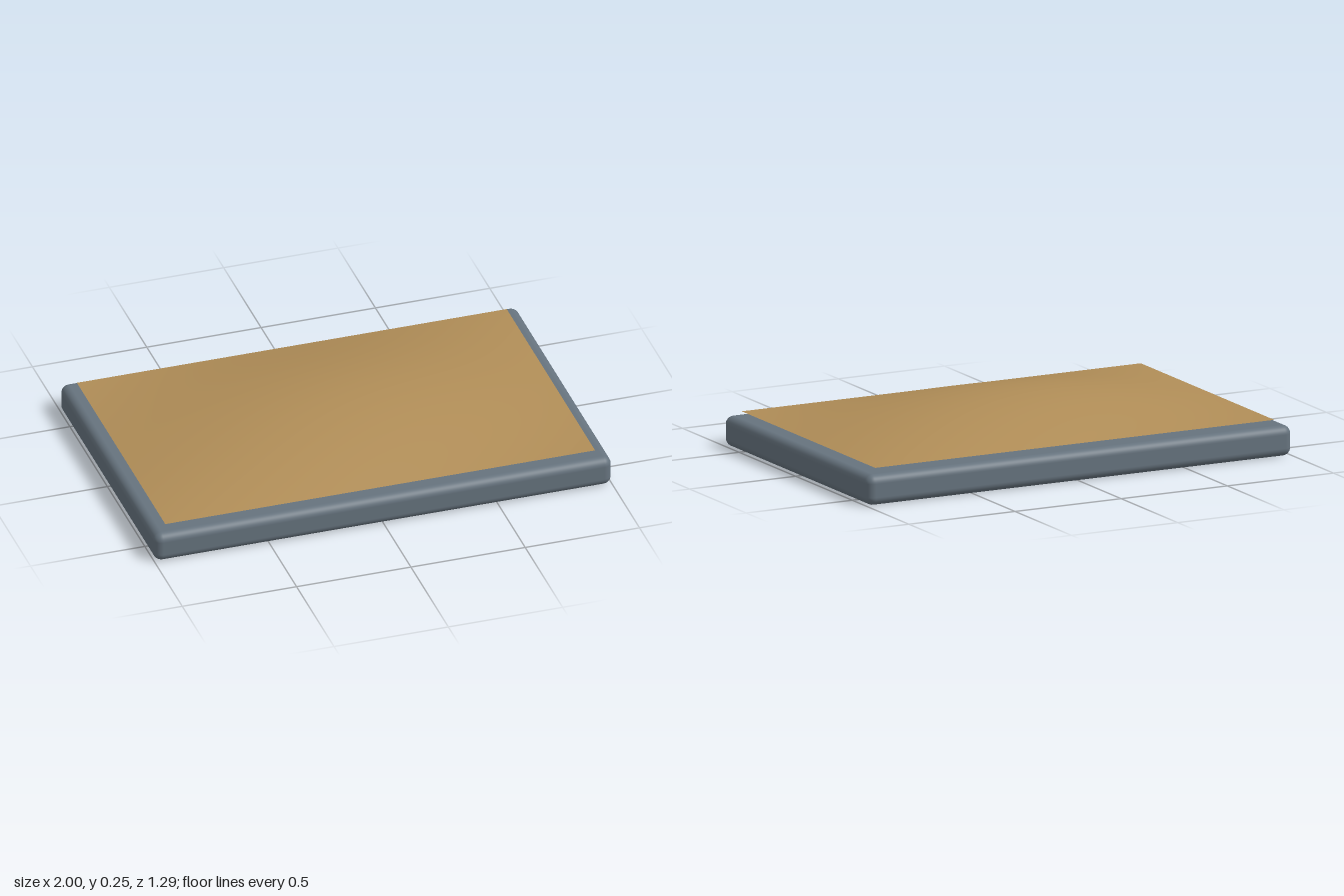
import * as THREE from 'three';
import { RoundedBoxGeometry } from 'three/addons/geometries/RoundedBoxGeometry.js';

export function createModel() {
  const model = new THREE.Group();

  // Rounded slab
  const base = new THREE.Mesh(
    new RoundedBoxGeometry(2, 0.13, 1.29, 5, 0.036),
    new THREE.MeshStandardMaterial({ color: 0x66737e })
  );
  base.name = 'base';
  base.position.y = 0.065;
  model.add(base);

  // Thin domed sheet hovering just above the slab, with straight flat edges
  const width = 1.88, depth = 1.18, rise = 0.104;
  const sheet = new THREE.PlaneGeometry(width, depth, 64, 48).rotateX(-Math.PI / 2);
  const pos = sheet.attributes.position;
  for (let i = 0; i < pos.count; i++) {
    const u = Math.cos(Math.PI * pos.getX(i) / width);
    const v = Math.cos(Math.PI * pos.getZ(i) / depth);
    pos.setY(i, rise * u * v);
  }
  sheet.computeVertexNormals();
  const dome = new THREE.Mesh(
    sheet,
    new THREE.MeshStandardMaterial({ color: 0xb08d57, side: THREE.DoubleSide })
  );
  dome.name = 'domedSheet';
  dome.position.y = 0.15;
  model.add(dome);

  return model;
}
